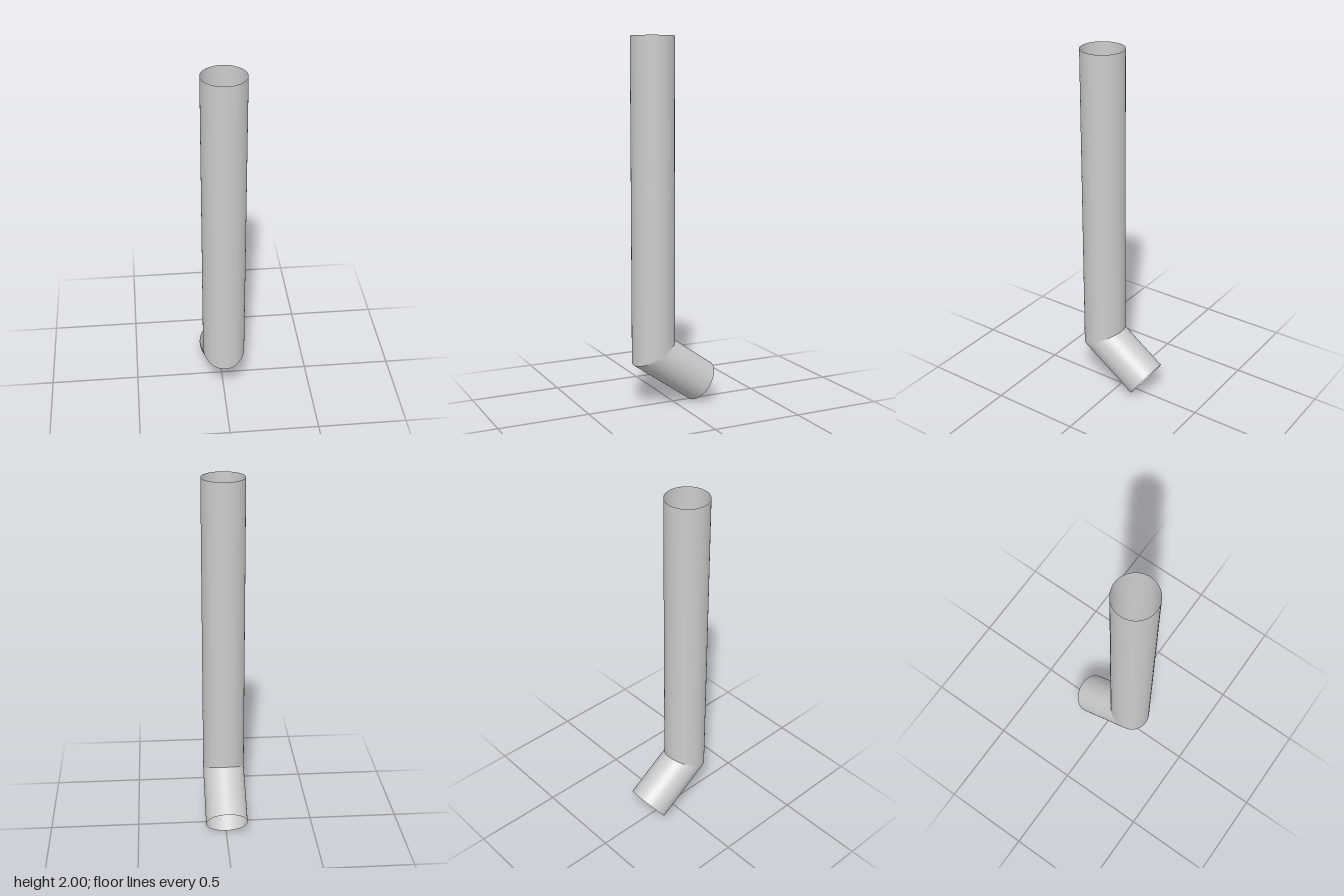
import * as THREE from 'three';

const R = 0.1175;                             // pipe radius
const BEND = THREE.MathUtils.degToRad(55);    // turn between the two runs
const MITRE = Math.tan(BEND / 2);             // slope of the cut at the joint
const JOINT_Y = 0.297, AXIS_Z = 0.1185;       // where the two axes meet

// Open pipe along y from y0 to y1; the end lying at y = 0 is cut on the mitre.
function pipe(name, y0, y1, slope, material) {
  const geometry = new THREE.CylinderGeometry(R, R, y1 - y0, 64, 1, true);
  geometry.translate(0, (y0 + y1) / 2, 0);
  const p = geometry.attributes.position;
  for (let i = 0; i < p.count; i++) {
    if (Math.abs(p.getY(i)) < 1e-4) p.setY(i, slope * p.getZ(i));
  }
  geometry.computeBoundingSphere();
  const mesh = new THREE.Mesh(geometry, material);
  mesh.name = name;
  mesh.position.set(0, JOINT_Y, AXIS_Z);
  return mesh;
}

export function createModel() {
  const group = new THREE.Group();
  group.name = 'bentPipe';
  const material = new THREE.MeshStandardMaterial({ color: 0xcccccc, side: THREE.DoubleSide });

  // Tall upright run, open at the top
  const upright = pipe('uprightPipe', 0, 2 - JOINT_Y, -MITRE, material);

  // Short outlet, tilted down towards the back and open at its end
  const outlet = pipe('outletPipe', -0.35, 0, MITRE, material);
  outlet.rotation.x = BEND;

  group.add(upright, outlet);
  return group;
}
